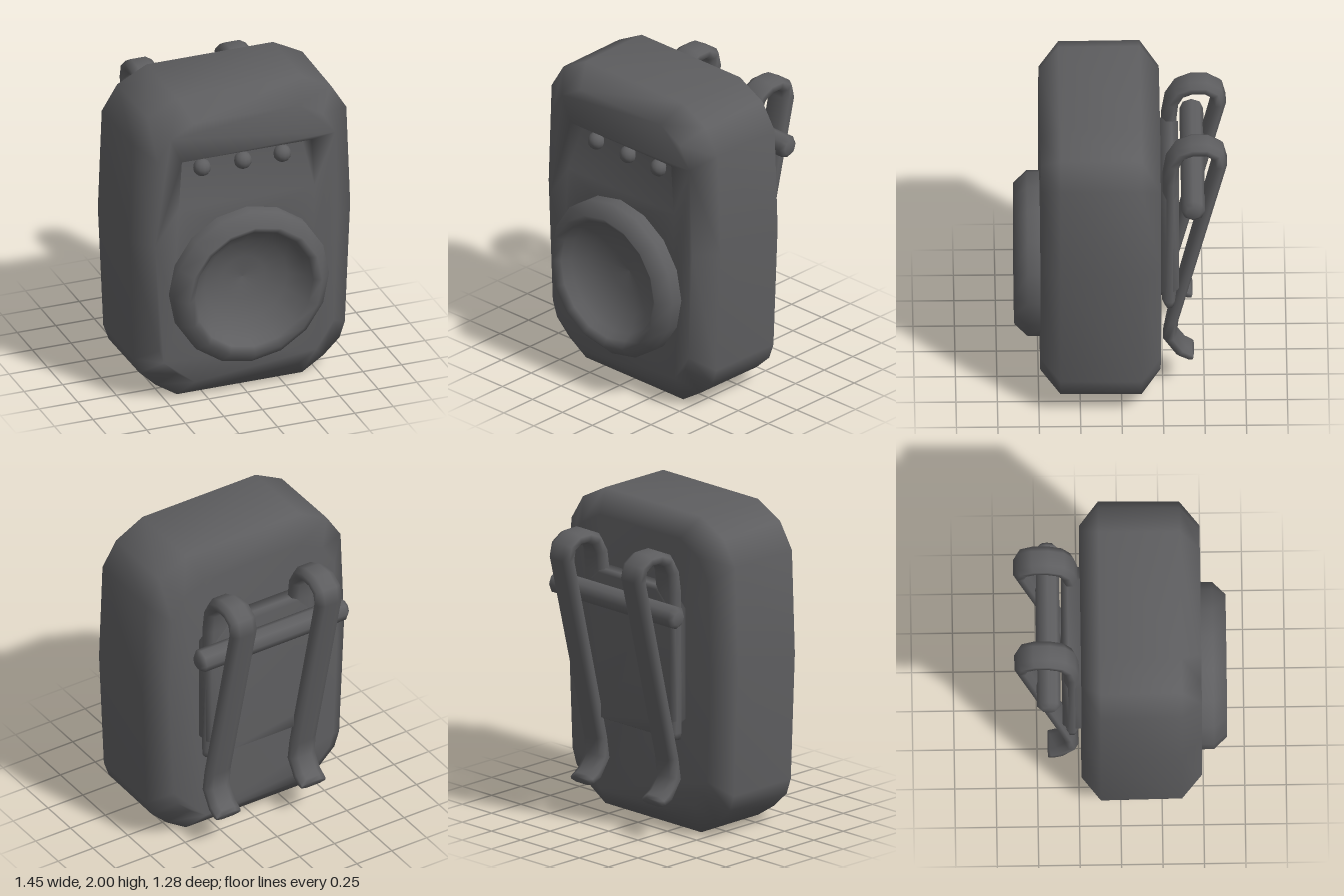
import * as THREE from 'three';
import { mergeVertices } from 'three/addons/utils/BufferGeometryUtils.js';

const V = (x, y, z) => new THREE.Vector3(x, y, z);

// Turns a list of triangle corners into a smooth geometry
function smooth(tris) {
  const g = new THREE.BufferGeometry().setFromPoints(tris);
  const m = mergeVertices(g, 1e-4);
  m.computeVertexNormals();
  return m;
}

// Triangles joining successive rings of points, with optional end caps
function loft(rings, capStart = true, capEnd = true) {
  const t = [];
  const n = rings[0].length;
  for (let k = 0; k < rings.length - 1; k++) {
    for (let i = 0; i < n; i++) {
      const j = (i + 1) % n;
      const a = rings[k][i], b = rings[k][j], c = rings[k + 1][j], d = rings[k + 1][i];
      t.push(a, b, c, a, c, d);
    }
  }
  const last = rings[rings.length - 1];
  for (let i = 1; i < n - 1; i++) {
    if (capStart) t.push(rings[0][0], rings[0][i + 1], rings[0][i]);
    if (capEnd) t.push(last[0], last[i], last[i + 1]);
  }
  return t;
}

// Outline scaled about a centre height and placed at depth z
const ring = (outline, z, sx, sy, cy) =>
  outline.map(([x, y]) => V(x * sx, cy + (y - cy) * sy, z));

// Mirrors the right-hand half of an outline, listed from bottom to top
const mirrored = (half) => [...half, ...half.map(([x, y]) => [-x, y]).reverse()];

function bodyGeometry() {
  const outline = mirrored([[0.41, 0], [0.55, 0.09], [0.655, 0.19], [0.69, 0.29],
    [0.725, 1.09], [0.7, 1.74], [0.6, 1.9], [0.41, 2]]);
  const front = ring(outline, 0.49, 0.82, 0.875, 1);
  const tris = loft([
    ring(outline, -0.235, 0.83, 0.87, 1),
    ring(outline, -0.12, 1, 1, 1),
    ring(outline, 0.37, 0.99, 1, 1),
    front,
  ], true, false);

  // front face with openings for the dish and the light recess
  const face = new THREE.Shape(front.map((p) => new THREE.Vector2(p.x, p.y)));
  const dishHole = [];
  for (let i = 0; i < 16; i++) {
    const a = (i / 16) * Math.PI * 2;
    dishHole.push(new THREE.Vector2(0.47 * Math.cos(a), 0.745 + 0.47 * Math.sin(a)));
  }
  const top = 1.625, low = 1.31;
  const recess = [[-0.42, top], [0.42, top], [0.44, low], [-0.44, low]];
  face.holes.push(new THREE.Path(dishHole),
    new THREE.Path(recess.map(([x, y]) => new THREE.Vector2(x, y))));
  const fg = new THREE.ShapeGeometry(face).toNonIndexed().attributes.position;
  for (let i = 0; i < fg.count; i++) tris.push(V(fg.getX(i), fg.getY(i), 0.49));

  // recess: overhanging top, sloping floor and two triangular cheeks
  const [tl, tr, br, bl] = recess.map(([x, y]) => V(x, y, 0.49));
  const il = V(-0.39, top - 0.01, 0.39), ir = V(0.39, top - 0.01, 0.39);
  tris.push(tl, il, ir, tl, ir, tr);
  tris.push(bl, br, ir, bl, ir, il);
  tris.push(tl, bl, il, tr, ir, br);
  return smooth(tris);
}

function plateGeometry() {
  const outline = mirrored([[0.26, 0.62], [0.39, 0.74], [0.39, 1.44], [0.26, 1.57]]);
  return smooth(loft([
    ring(outline, -0.348, 0.95, 0.96, 1.1),
    ring(outline, -0.31, 1, 1, 1.1),
    ring(outline, -0.22, 1, 1, 1.1),
  ]));
}

// Flat bent strap swept along a path of [z, y, half thickness]
function clipGeometry() {
  const path = [[-0.29, 0.62, 0.03], [-0.29, 0.66, 0.045], [-0.293, 1.55, 0.045],
    [-0.31, 1.68, 0.042], [-0.355, 1.76, 0.042], [-0.43, 1.793, 0.042],
    [-0.515, 1.793, 0.042], [-0.578, 1.755, 0.044], [-0.594, 1.68, 0.044],
    [-0.31, 0.5, 0.034], [-0.293, 0.37, 0.042], [-0.36, 0.27, 0.042],
    [-0.41, 0.243, 0.038], [-0.432, 0.236, 0.02]];
  const section = [[0.55, -1], [1, -0.45], [1, 0.45], [0.55, 1],
    [-0.55, 1], [-1, 0.45], [-1, -0.45], [-0.55, -1]];
  const rings = path.map(([z, y, h], i) => {
    const p = path[Math.max(i - 1, 0)], q = path[Math.min(i + 1, path.length - 1)];
    const unit = (a, b) => V(0, b[1] - a[1], b[0] - a[0]).normalize();
    const t = unit(p, path[i]).add(unit(path[i], q)).normalize();
    const n = t.clone().cross(V(1, 0, 0));
    return section.map(([u, v]) => V(u * 0.085, y, z).addScaledVector(n, v * h));
  });
  return smooth(loft(rings));
}

export function createModel() {
  const group = new THREE.Group();
  const darkGrey = new THREE.MeshStandardMaterial({ color: 0x5e5e60 });
  darkGrey.name = 'darkGrey';
  const add = (name, geometry, x = 0, y = 0, z = 0) => {
    const mesh = new THREE.Mesh(geometry, darkGrey);
    mesh.name = name;
    mesh.position.set(x, y, z);
    group.add(mesh);
    return mesh;
  };

  add('body', bodyGeometry());

  // round dish with a raised rim
  const profile = [[0.505, 0.46], [0.505, 0.565], [0.43, 0.645], [0.385, 0.61],
    [0.36, 0.55], [0.27, 0.475], [0.14, 0.43], [0, 0.415]]
    .map(([r, z]) => new THREE.Vector2(r, z));
  add('dish', new THREE.LatheGeometry(profile, 16).rotateX(Math.PI / 2), 0, 0.745, 0);

  // small lights in the recess
  for (const x of [-0.265, 0, 0.255]) {
    add('indicatorLight', new THREE.SphereGeometry(0.055, 12, 8), x, 1.535, 0.425);
  }

  // fastening on the back
  add('backPlate', plateGeometry());
  const clip = clipGeometry();
  add('leftClip', clip, 0.305);
  add('rightClip', clip, -0.305);

  // cross bar with bevelled ends
  const bar = [[0, -0.53], [0.045, -0.53], [0.072, -0.505], [0.072, 0.505], [0.045, 0.53], [0, 0.53]]
    .map(([r, y]) => new THREE.Vector2(r, y));
  add('crossBar', new THREE.LatheGeometry(bar, 8).rotateZ(Math.PI / 2), 0, 1.45, -0.432);

  return group;
}
